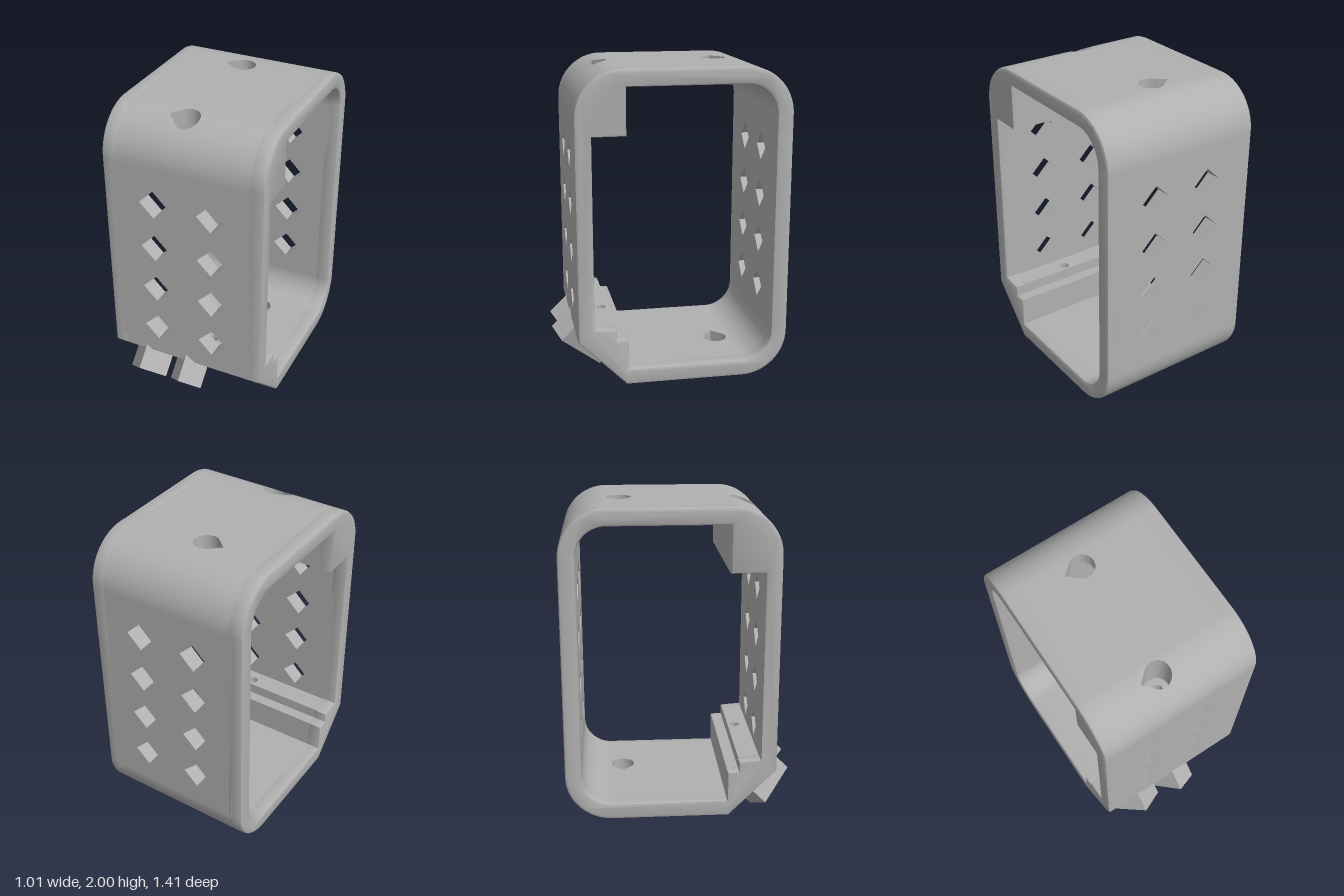
import * as THREE from 'three';
import { toCreasedNormals } from 'three/addons/utils/BufferGeometryUtils.js';

const HALF = 0.505, CORE = 0.44;
const R = 0.074, TIP = 0.11;

// Half width of a teardrop hole at distance dx from its centre (tip towards -x)
function tearWidth(dx) {
  if (dx <= -TIP || dx >= R) return 0;
  const tangent = -R * R / TIP;
  return dx > tangent ? Math.sqrt(R * R - dx * dx) : (dx + TIP) * R / Math.sqrt(TIP * TIP - R * R);
}

// Offsets along x that describe the teardrop well
function tearOffsets() {
  const list = [-TIP];
  for (let i = 0; i <= 10; i++) list.push(-R * Math.cos(Math.PI * (0.26 + 0.74 * i / 10)));
  return list;
}

const polygon = (pts) => new THREE.Shape(pts.map(([a, b]) => new THREE.Vector2(a, b)));

function tearPath(cx, cy) {
  const xs = tearOffsets();
  const upper = xs.map((d) => new THREE.Vector2(cx + d, cy + tearWidth(d)));
  const lower = xs.slice(1, -1).reverse().map((d) => new THREE.Vector2(cx + d, cy - tearWidth(d)));
  return new THREE.Path([...upper, ...lower]);
}

function circlePath(cx, cy, r) {
  const p = new THREE.Path();
  p.absarc(cx, cy, r, 0, Math.PI * 2, true);
  return p;
}

// Shape drawn in (z, y), extruded along x
function alongX(shape, x0, x1, bevel = 0) {
  const g = new THREE.ExtrudeGeometry(shape, {
    depth: x1 - x0 - 2 * bevel, curveSegments: 14, bevelEnabled: bevel > 0,
    bevelSize: bevel, bevelThickness: bevel, bevelOffset: -bevel, bevelSegments: 2,
  });
  g.rotateY(-Math.PI / 2).translate(x1 - bevel, 0, 0);
  return toCreasedNormals(g, 0.6);
}

// Shape drawn in (x, z), extruded down from y = top
function slab(shape, top, thick) {
  const g = new THREE.ExtrudeGeometry(shape, { depth: thick, bevelEnabled: false, curveSegments: 8 });
  return g.rotateX(Math.PI / 2).translate(0, top, 0);
}

const rect = (a0, a1, b0, b1) => polygon([[a0, b0], [a1, b0], [a1, b1], [a0, b1]]);

// Grid surface through rows of points
function gridSurface(rows) {
  const n = rows[0].length, index = [];
  for (let i = 0; i < rows.length - 1; i++) {
    for (let j = 0; j < n - 1; j++) {
      const a = i * n + j, b = a + n;
      index.push(a, a + 1, b, b, a + 1, b + 1);
    }
  }
  const g = new THREE.BufferGeometry();
  g.setAttribute('position', new THREE.Float32BufferAttribute(rows.flat(2), 3));
  g.setIndex(index);
  g.computeVertexNormals();
  return g;
}

// Outer skin of a corner block with a vertical teardrop hole through it
function piercedSkin(z0, z1, height, cx, cz, floor) {
  const xs = [-CORE, ...tearOffsets().map((d) => cx + d), CORE];
  const strip = (from, to) => gridSurface(xs.map((x) => {
    const w = tearWidth(x - cx), a = from(w), b = to(w), row = [];
    for (let j = 0; j <= 14; j++) {
      const z = a + (b - a) * Math.sin(j / 14 * Math.PI / 2);
      row.push([x, height(z), z]);
    }
    return row;
  }));
  const wall = (s) => gridSurface(xs.slice(1, -1).map((x) => {
    const z = cz + s * tearWidth(x - cx);
    return [[x, height(z), z], [x, floor, z]];
  }));
  return [strip(() => z0, (w) => cz - w), strip((w) => cz + w, () => z1), wall(1), wall(-1)];
}

export function createModel() {
  const model = new THREE.Group();
  const grey = new THREE.MeshStandardMaterial({ color: 0xb0b0b0, side: THREE.DoubleSide });
  grey.name = 'plain grey';
  const add = (name, geometry) => {
    const m = new THREE.Mesh(geometry, grey);
    m.name = name;
    model.add(m);
    return m;
  };

  // Bevelled rims around both open sides
  const outline = new THREE.Shape();
  outline.moveTo(0.31, 0.1);
  outline.lineTo(0.6, 0.39);
  outline.lineTo(0.6, 1.72);
  outline.absarc(0.32, 1.72, 0.28, 0, Math.PI / 2, false);
  outline.lineTo(-0.405, 2);
  outline.absarc(-0.405, 1.72, 0.28, Math.PI / 2, Math.PI, false);
  outline.lineTo(-0.685, 0.38);
  outline.absarc(-0.405, 0.38, 0.28, Math.PI, Math.PI * 1.5, false);
  const opening = new THREE.Path();
  opening.moveTo(0.3, 0.2);
  opening.lineTo(0.3, 0.39);
  opening.lineTo(0.37, 0.39);
  opening.lineTo(0.37, 0.455);
  opening.lineTo(0.5, 0.465);
  opening.lineTo(0.5, 1.62);
  opening.lineTo(0.3, 1.62);
  opening.lineTo(0.3, 1.9);
  opening.lineTo(-0.405, 1.9);
  opening.absarc(-0.405, 1.72, 0.18, Math.PI / 2, Math.PI, false);
  opening.lineTo(-0.585, 0.38);
  opening.absarc(-0.405, 0.38, 0.18, Math.PI, Math.PI * 1.5, false);
  outline.holes.push(opening);
  add('leftRim', alongX(outline, 0.4, HALF, 0.018));
  add('rightRim', alongX(outline, -HALF, -0.4, 0.018));

  // Front and back walls with diamond holes
  const wall = (name, y0, y1, z) => {
    const s = rect(-CORE, CORE, y0, y1), h = 0.09;
    for (const x of [-0.185, 0.18]) for (const y of [0.59, 0.885, 1.18, 1.48]) {
      s.holes.push(new THREE.Path([[x - h, y], [x, y + h], [x + h, y], [x, y - h]]
        .map(([a, b]) => new THREE.Vector2(a, b))));
    }
    add(name, new THREE.ExtrudeGeometry(s, { depth: 0.1, bevelEnabled: false }).translate(0, 0, z));
  };
  wall('frontWall', 0.455, 1.62, 0.5);
  wall('backWall', 0.38, 1.72, -0.685);

  // Top and bottom walls, each with a teardrop hole
  for (const [name, top, cx] of [['topWall', 2, -0.045], ['bottomWall', 0.2, 0.1]]) {
    const s = rect(-CORE, CORE, -0.405, 0.31);
    s.holes.push(tearPath(cx, -0.33));
    add(name, slab(s, top, 0.1));
  }

  // Rounded rear corners
  for (const [name, y, a] of [['upperBackCorner', 1.72, Math.PI / 2], ['lowerBackCorner', 0.38, Math.PI]]) {
    const s = new THREE.Shape();
    s.absarc(-0.405, y, 0.28, a, a + Math.PI / 2, false);
    s.absarc(-0.405, y, 0.18, a + Math.PI / 2, a, true);
    add(name, alongX(s, -CORE, CORE));
  }

  // Upper front corner: rounded skin over a ledge, with a screw hole
  const dome = (z) => 1.72 + Math.sqrt(Math.max(0, 0.28 ** 2 - Math.max(0, z - 0.32) ** 2));
  piercedSkin(0.3, 0.6, dome, -0.045, 0.415, 1.72).forEach((g) => add('upperFrontCorner', g));
  const ledge = rect(-CORE, CORE, 0.3, 0.6);
  ledge.holes.push(circlePath(-0.04, 0.415, 0.03));
  add('upperLedge', slab(ledge, 1.72, 0.1));
  add('upperLedgeFace', new THREE.PlaneGeometry(2 * CORE, 0.2).rotateY(Math.PI).translate(0, 1.81, 0.3));

  // Lower front corner: sloped skin under a stepped ledge, with a screw hole
  piercedSkin(0.31, 0.6, (z) => z - 0.21, 0.1, 0.415, 0.39).forEach((g) => add('lowerFrontCorner', g));
  const step = rect(-CORE, CORE, 0.37, 0.6);
  step.holes.push(circlePath(0.1, 0.415, 0.03));
  add('lowerLedge', slab(step, 0.46, 0.07));
  add('lowerStep', slab(rect(-CORE, CORE, 0.3, 0.37), 0.39, 0.01));
  add('lowerLedgeFace', new THREE.PlaneGeometry(2 * CORE, 0.2).rotateY(Math.PI).translate(0, 0.29, 0.3));

  // Slanted lugs standing on the sloped face
  for (const [name, x, y, z, w, l, turn] of [
    ['rightLug', -0.28, 0.255, 0.53, 0.18, 0.28, -0.6],
    ['leftLug', -0.03, 0.222, 0.501, 0.15, 0.42, -0.49]]) {
    const g = new THREE.BoxGeometry(w, l, 0.18).rotateZ(turn).rotateX(Math.PI / 4);
    add(name, g.translate(x, y, z));
  }
  return model;
}
